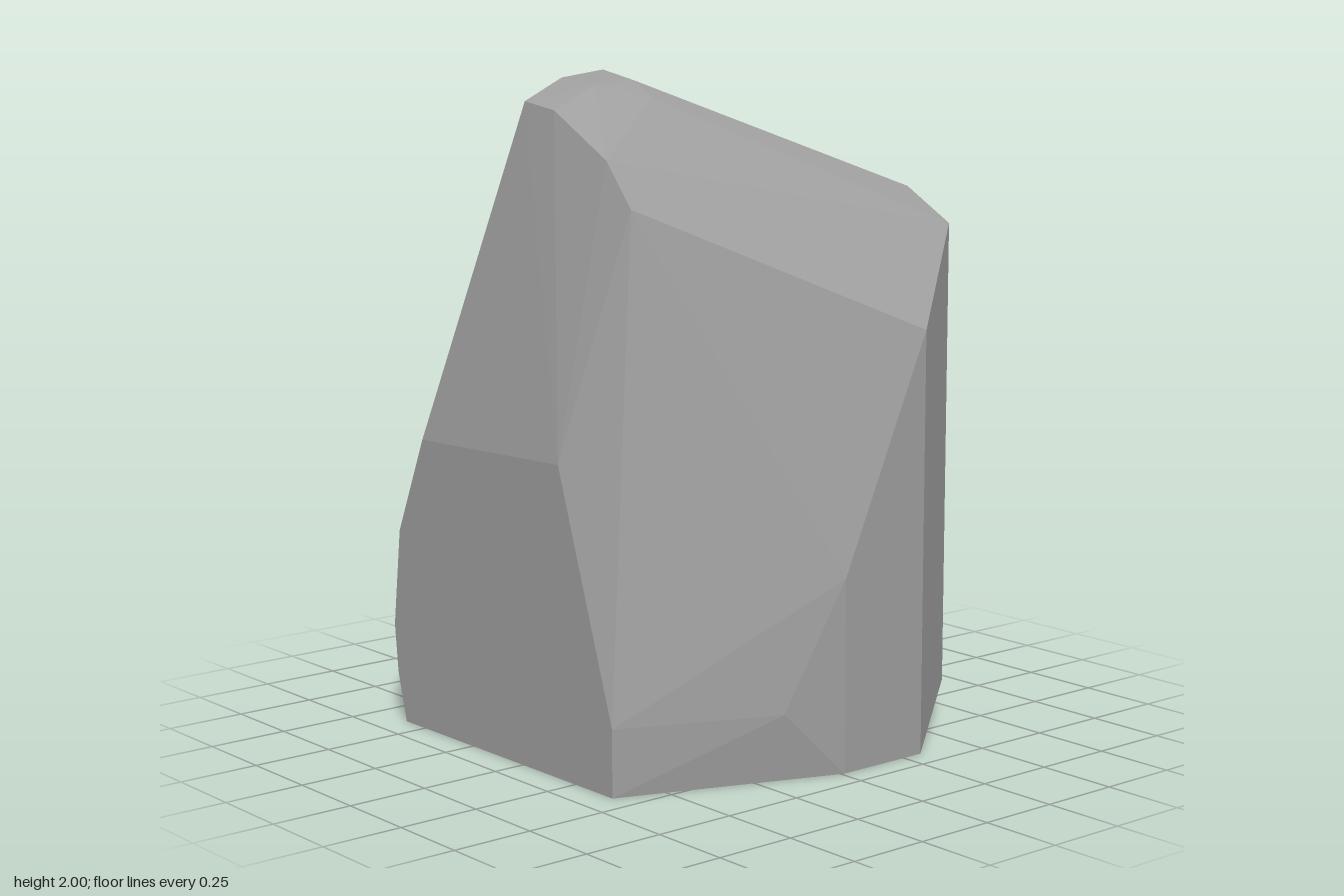
import * as THREE from 'three';
import { ConvexGeometry } from 'three/addons/geometries/ConvexGeometry.js';

// Faceted boulder: the convex hull of its corner points, grouped by region
export function createModel() {
  const stone = new THREE.MeshStandardMaterial({ color: 0x9e9e9e, flatShading: true });
  stone.name = 'stone grey';

  // Footprint on the ground, with a diagonal back edge
  const base = [
    [0.58, 0, 0.43], [0.32, 0, 0.67], [0.01, 0, 0.67], [-0.65, 0, 0.42], [-0.65, 0, -0.6],
  ];
  // Sloping front and its lower left bevel
  const front = [
    [-0.65, 0.2, 0.42], [-0.18, 0.2, 0.62], [0.01, 0.58, 0.67], [0.32, 1.27, 0.67],
  ];
  // Flat right end
  const rightEnd = [
    [0.65, 0.12, 0.43], [0.65, 1.54, 0.43], [0.65, 1.64, 0.25],
    [0.65, 1.64, -0.05], [0.65, 1.55, -0.09], [0.65, 1.42, -0.08],
  ];
  // Flat left end and the rounded edge behind it
  const leftEnd = [
    [-0.65, 0.92, 0.18], [-0.65, 0.9, -0.49], [-0.65, 0.6, -0.62],
    [-0.65, 0.3, -0.655], [-0.65, 0.15, -0.64], [-0.56, 0.5, -0.675],
  ];
  // Upper edge of the left slope
  const leftShoulder = [
    [-0.47, 1.92, -0.2], [-0.47, 1.9, -0.06], [-0.47, 1.77, 0.18], [-0.47, 1.64, 0.29],
  ];
  // Rounded crown
  const crown = [
    [-0.28, 1.98, -0.27], [-0.14, 2, -0.25], [-0.28, 1.965, -0.11], [-0.14, 1.975, -0.11],
    [-0.14, 1.925, -0.02], [-0.04, 1.9, -0.03], [0, 1.935, -0.4], [-0.02, 1.93, -0.5],
  ];
  // Bevelled edge between the crown and the back
  const backEdge = [
    [-0.09, 1.83, -0.63], [0, 1.84, -0.645], [0.11, 1.82, -0.64], [0, 1.7, -0.675],
    [0.08, 1.7, -0.66], [0.23, 1.79, -0.5], [0.266, 1.7, -0.49], [0.51, 1.63, -0.21], [0.545, 1.54, -0.2],
  ];

  const points = [base, front, rightEnd, leftEnd, leftShoulder, crown, backEdge]
    .flat()
    .map((p) => new THREE.Vector3(...p));

  const boulder = new THREE.Mesh(new ConvexGeometry(points), stone);
  boulder.name = 'boulder';

  const group = new THREE.Group();
  group.name = 'rock';
  group.add(boulder);
  return group;
}
